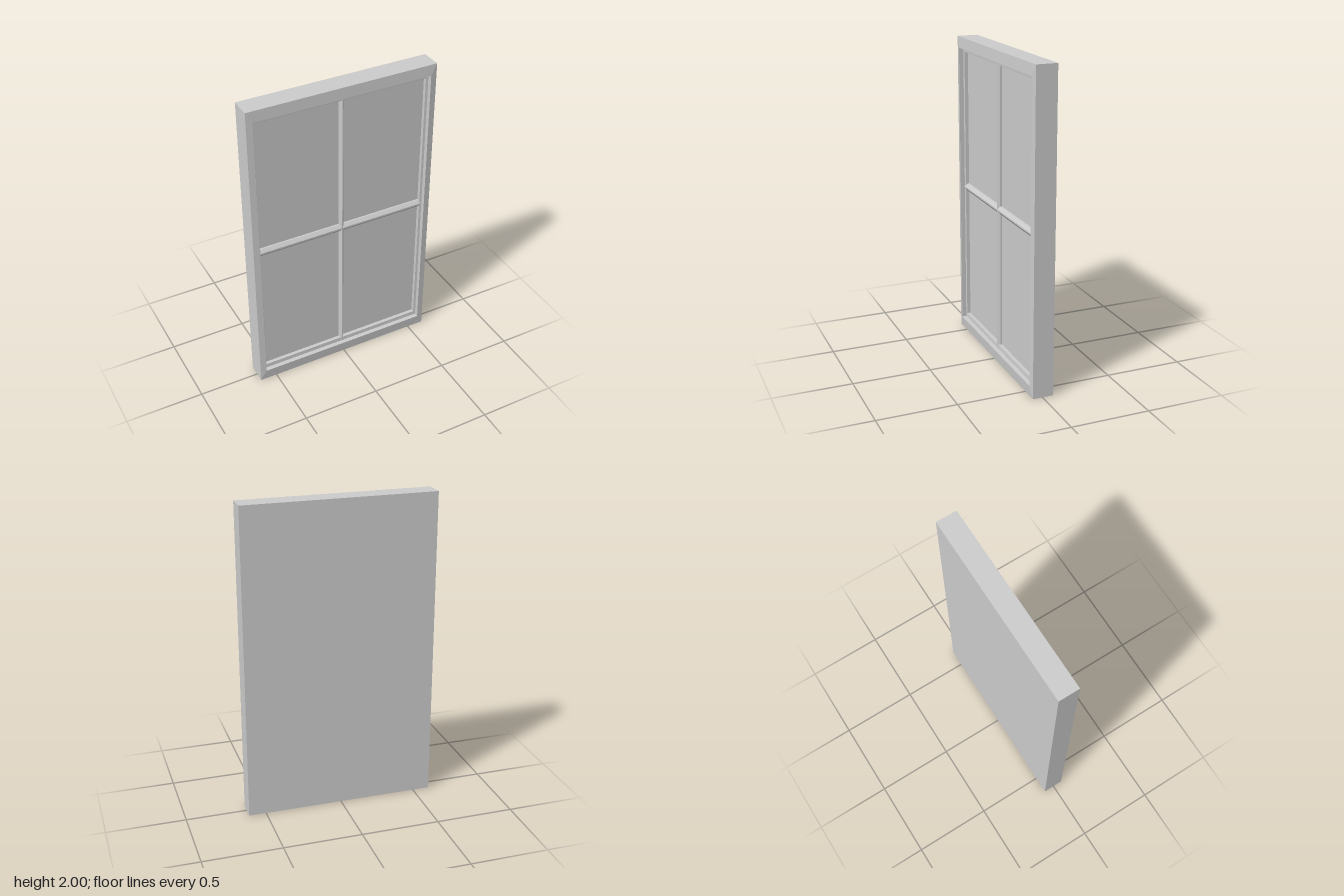
import * as THREE from 'three';

const material = new THREE.MeshStandardMaterial({ color: 0xcccccc, flatShading: true });
const MID = 1; // height of the window centre

// Joins rectangular loops [halfWidth, halfHeight, z] with mitred faces
function rectLoft(loops) {
  const corners = [[-1, -1], [1, -1], [1, 1], [-1, 1]];
  const pos = [];
  const at = ([w, h, z], j) => [corners[j % 4][0] * w, MID + corners[j % 4][1] * h, z];
  for (let i = 0; i < loops.length - 1; i++) {
    for (let j = 0; j < 4; j++) {
      const a = at(loops[i], j), b = at(loops[i], j + 1);
      const c = at(loops[i + 1], j + 1), d = at(loops[i + 1], j);
      pos.push(...a, ...b, ...c, ...a, ...c, ...d);
    }
  }
  const geo = new THREE.BufferGeometry();
  geo.setAttribute('position', new THREE.Float32BufferAttribute(pos, 3));
  geo.computeVertexNormals();
  return geo;
}

// Upright glazing bar with bevelled front, centred on the origin
function barGeometry(halfWidth, ridge, length) {
  const shape = new THREE.Shape([
    [-halfWidth, 0.01], [halfWidth, 0.01], [halfWidth, 0.026],
    [ridge, 0.042], [-ridge, 0.042], [-halfWidth, 0.026],
  ].map(([x, y]) => new THREE.Vector2(x, y)));
  const geo = new THREE.ExtrudeGeometry(shape, { depth: length, bevelEnabled: false });
  return geo.translate(0, 0, -length / 2).rotateX(Math.PI / 2);
}

export function createModel() {
  const group = new THREE.Group();
  const add = (name, geo) => {
    const mesh = new THREE.Mesh(geo, material);
    mesh.name = name;
    group.add(mesh);
    return mesh;
  };

  // Outer frame, its face rising slightly toward the opening
  add('outerFrame', rectLoft([
    [0.61, 1, -0.07], [0.61, 1, 0.063], [0.57, 0.93, 0.069], [0.57, 0.93, 0.04],
  ]));

  // Stepped lip that holds the panes
  add('glazingLip', rectLoft([
    [0.57, 0.93, 0.04], [0.555, 0.904, 0.038], [0.555, 0.904, 0.015],
  ]));

  // Glass sheet and plain back
  add('glassPane', new THREE.PlaneGeometry(1.11, 1.808)).position.set(0, MID, 0.015);
  const back = add('backPanel', new THREE.PlaneGeometry(1.22, 2));
  back.position.set(0, MID, -0.07);
  back.rotation.y = Math.PI;

  // Crossing glazing bars
  add('verticalBar', barGeometry(0.014, 0.003, 1.86)).position.y = MID;
  add('horizontalBar', barGeometry(0.025, 0.005, 1.14).rotateZ(Math.PI / 2)).position.y = MID + 0.002;

  return group;
}
